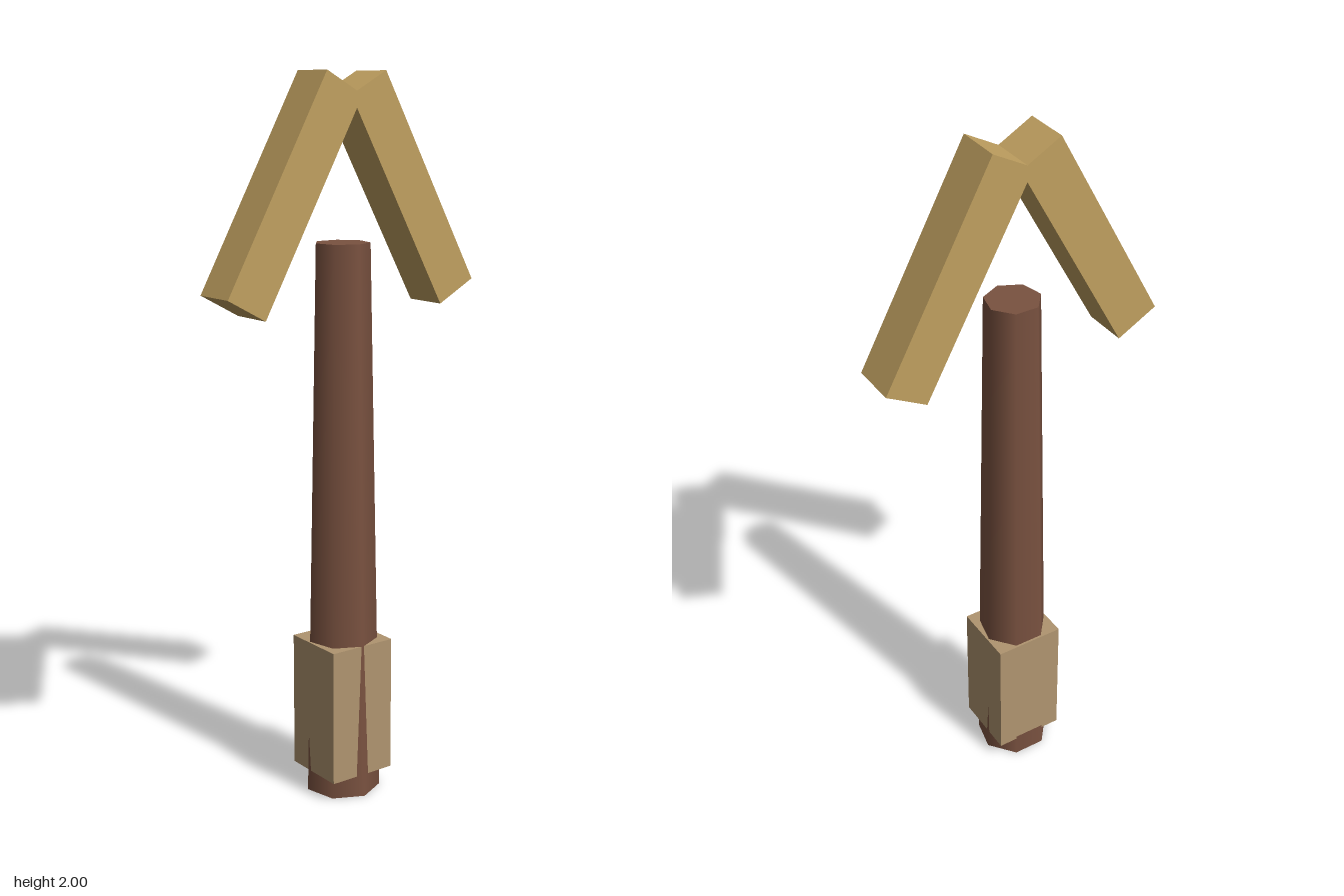
import * as THREE from 'three';

const CENTER_Z = -0.007;

export function createModel() {
  const model = new THREE.Group();
  model.name = 'post';

  const add = (name, geometry, color, x, y, z) => {
    const mesh = new THREE.Mesh(geometry, new THREE.MeshStandardMaterial({ color }));
    mesh.name = name;
    mesh.position.set(x, y, z);
    model.add(mesh);
    return mesh;
  };

  // Tapered seven-sided pole, one corner facing the front
  const poleHeight = 1.555;
  add('pole', new THREE.CylinderGeometry(0.076, 0.1068, poleHeight, 7), 0x7a5240, 0, poleHeight / 2, CENTER_Z);

  // Square sleeve around the foot; the pole corners just break through it
  add('sleeve', new THREE.BoxGeometry(0.2014, 0.385, 0.191), 0xb09570, 0, 0.2525, -0.0065);

  // Two crossing beams forming the peak
  const beam = new THREE.BoxGeometry(0.129, 0.642, 0.13);
  for (const side of [-1, 1]) {
    const mesh = add(side > 0 ? 'leftBeam' : 'rightBeam', beam, 0xc0a060, side * 0.1925, 1.6875, CENTER_Z);
    mesh.rotation.z = side * THREE.MathUtils.degToRad(28.7);
  }

  return model;
}
